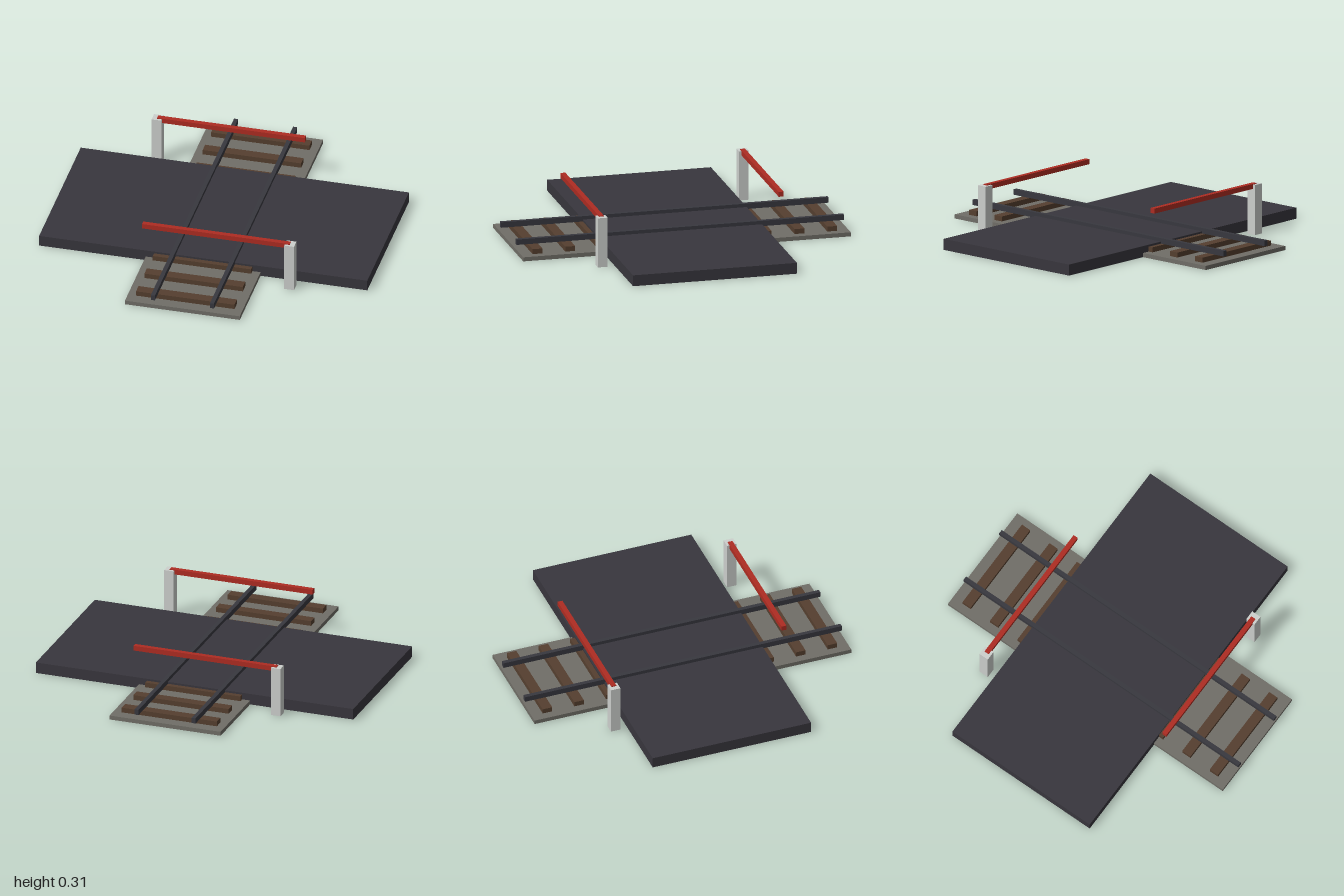
import * as THREE from 'three';

const material = (name, color) => {
  const m = new THREE.MeshStandardMaterial({ color });
  m.name = name;
  return m;
};

export function createModel() {
  const model = new THREE.Group();
  model.name = 'levelCrossing';

  const asphalt = material('asphalt', 0x38363d);
  const steel = material('railSteel', 0x38383f);
  const gravel = material('gravel', 0x706e67);
  const timber = material('timber', 0x553f2f);
  const postGrey = material('postGrey', 0xcdd0cd);
  const barrierRed = material('barrierRed', 0xae2c22);

  // Box given by its extents along each axis
  const box = (name, mat, [x0, x1], [y0, y1], [z0, z1], parent = model) => {
    const mesh = new THREE.Mesh(new THREE.BoxGeometry(x1 - x0, y1 - y0, z1 - z0), mat);
    mesh.position.set((x0 + x1) / 2, (y0 + y1) / 2, (z0 + z1) / 2);
    mesh.name = name;
    parent.add(mesh);
  };

  // Road slab across the track
  box('road', asphalt, [-1, 1], [0, 0.067], [-0.5, 0.5]);

  // Rails run the full length and stand proud of the road
  for (const x of [-0.18, 0.18]) {
    box('rail', steel, [x - 0.0125, x + 0.0125], [0.055, 0.088], [-1, 1]);
  }

  // Each half of the track: ballast, sleepers and a barrier, turned about the centre
  for (const turn of [0, Math.PI]) {
    const half = new THREE.Group();
    half.name = turn ? 'backApproach' : 'frontApproach';
    half.rotation.y = turn;
    model.add(half);

    box('ballast', gravel, [-0.35, 0.35], [0, 0.025], [0.49, 1], half);
    for (const z of [0.5, 0.7, 0.9]) {
      box('sleeper', timber, [-0.3, 0.3], [0.025, 0.055], [z - 0.03, z + 0.03], half);
    }
    box('barrierPost', postGrey, [0.52, 0.58], [0, 0.303], [0.545, 0.605], half);
    box('barrierArm', barrierRed, [-0.35, 0.55], [0.278, 0.308], [0.56, 0.59], half);
  }

  return model;
}
